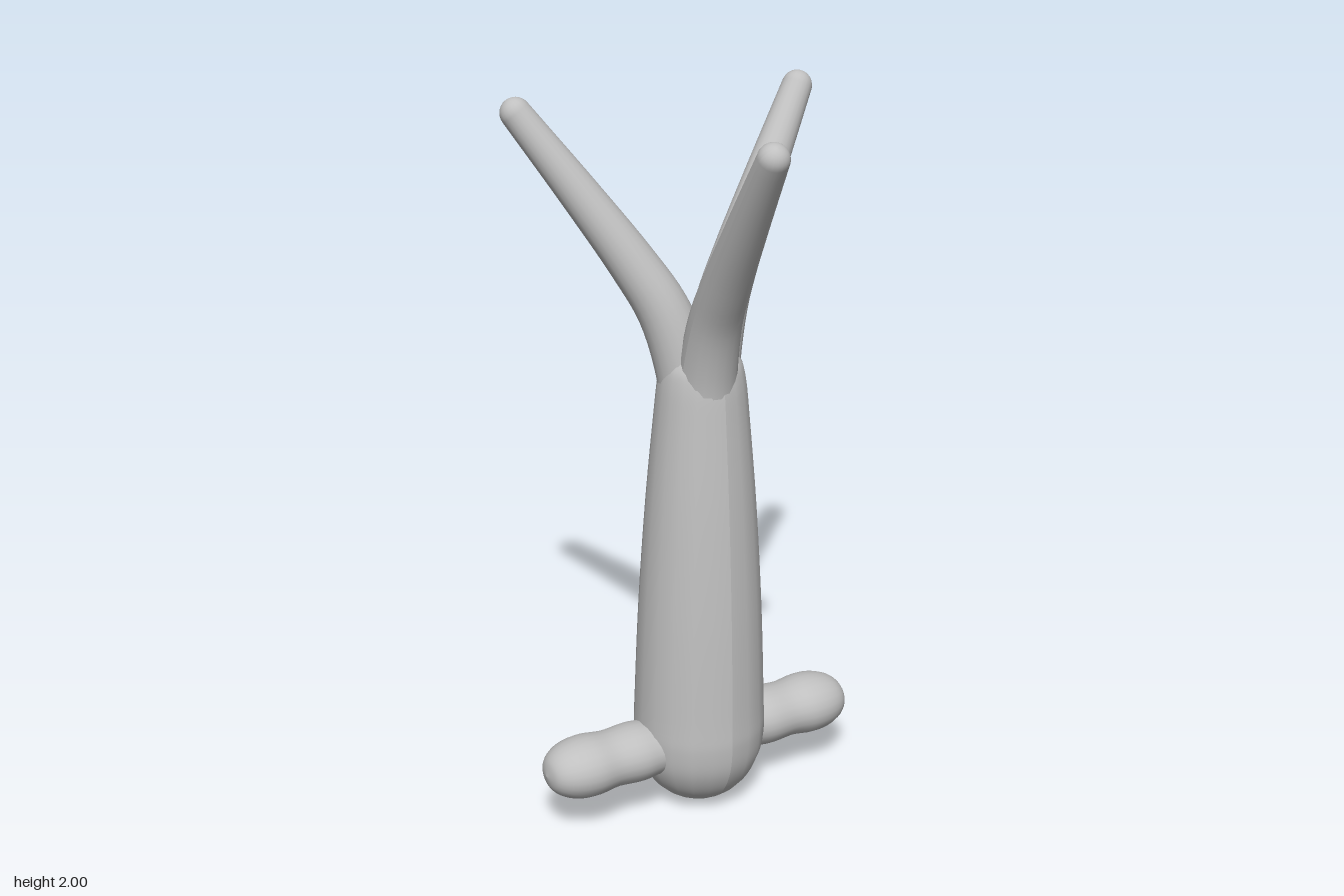
import * as THREE from 'three';

const grey = new THREE.MeshStandardMaterial({ color: 0xc0c0c0 });
grey.name = 'plainGrey';

function add(parent, name, geometry) {
  const mesh = new THREE.Mesh(geometry, grey);
  mesh.name = name;
  parent.add(mesh);
  return mesh;
}

// Smooth solid of revolution through [radius, height] points, bottom to top
function turned(points, sides, steps) {
  const curve = new THREE.SplineCurve(points.map(([r, y]) => new THREE.Vector2(r, y)));
  const profile = curve.getPoints(steps).map((p) => new THREE.Vector2(Math.max(p.x, 0), p.y));
  return new THREE.LatheGeometry(profile, sides);
}

// Tapered tube along a curve with a rounded tip
function taperedTube(points, r0, r1, sides = 20, steps = 28, capSteps = 7) {
  const curve = new THREE.CatmullRomCurve3(points);
  const frames = curve.computeFrenetFrames(steps);
  const pos = [], index = [];
  const ring = (centre, i, r) => {
    for (let j = 0; j <= sides; j++) {
      const a = (j / sides) * Math.PI * 2;
      const p = centre.clone()
        .addScaledVector(frames.normals[i], Math.cos(a) * r)
        .addScaledVector(frames.binormals[i], Math.sin(a) * r);
      pos.push(p.x, p.y, p.z);
    }
  };
  for (let i = 0; i <= steps; i++) {
    ring(curve.getPointAt(i / steps), i, r0 + (r1 - r0) * (i / steps));
  }
  for (let k = 1; k <= capSteps; k++) {
    const a = (k / capSteps) * Math.PI / 2;
    const centre = curve.getPointAt(1).addScaledVector(frames.tangents[steps], Math.sin(a) * r1);
    ring(centre, steps, Math.max(Math.cos(a) * r1, 0.0005));
  }
  const w = sides + 1;
  for (let i = 0; i < steps + capSteps; i++) {
    for (let j = 0; j < sides; j++) {
      const a = i * w + j, b = a + 1, c = a + w, d = c + 1;
      index.push(a, b, d, a, d, c);
    }
  }
  const g = new THREE.BufferGeometry();
  g.setAttribute('position', new THREE.Float32BufferAttribute(pos, 3));
  g.setIndex(index);
  g.computeVertexNormals();
  return g;
}

export function createModel() {
  const model = new THREE.Group();
  model.name = 'branchingFigure';
  const axisZ = -0.09;

  // Trunk: rounded foot, long taper, domed top, leaning slightly to +x
  const trunk = turned([
    [0, 0.008], [0.07, 0.025], [0.13, 0.07], [0.17, 0.14], [0.184, 0.22], [0.182, 0.32],
    [0.171, 0.6], [0.152, 0.9], [0.13, 1.15], [0.117, 1.27], [0.1, 1.32], [0.06, 1.36], [0, 1.375],
  ], 20, 72);
  const p = trunk.attributes.position;
  for (let i = 0; i < p.count; i++) p.setX(i, p.getX(i) + 0.012 * p.getY(i));
  trunk.computeVertexNormals();
  add(model, 'trunk', trunk).position.z = axisZ;

  // Three branches: steep at the trunk, then spreading outwards
  const crown = new THREE.Vector2(0.012, -0.086);
  const rise = [[0.05, 1.16], [0.1, 1.3], [0.21, 1.45], [0.37, 1.57], [0.65, 1.75], [1, 1.965]];
  const tips = { frontBranch: [-0.055, 0.365], leftBranch: [0.42, -0.272], rightBranch: [-0.37, -0.368] };
  for (const [name, [x, z]] of Object.entries(tips)) {
    const path = rise.map(([t, y]) => new THREE.Vector3(
      crown.x + (x - crown.x) * t, y, crown.y + (z - crown.y) * t));
    add(model, name, taperedTube(path, 0.085, 0.041));
  }

  // Side limbs: wavy, slightly flattened rounded rods
  for (const side of [1, -1]) {
    const limb = turned([
      [0.085, 0], [0.088, 0.14], [0.095, 0.21], [0.09, 0.285], [0.098, 0.35],
      [0.093, 0.4], [0.075, 0.442], [0.045, 0.469], [0, 0.48],
    ], 24, 48);
    limb.rotateZ(-side * Math.PI / 2);
    limb.scale(1, 0.86, 1);
    add(model, side > 0 ? 'leftLimb' : 'rightLimb', limb).position.set(0, 0.198, axisZ);
  }

  // Small two-lobed nub behind the left limb
  const nub = new THREE.Group();
  nub.name = 'nub';
  model.add(nub);
  const outer = new THREE.CapsuleGeometry(0.026, 0.045, 6, 14);
  outer.rotateZ(Math.PI / 2);
  add(nub, 'nubOuterLobe', outer).position.set(0.375, 0.2, -0.19);
  add(nub, 'nubInnerLobe', new THREE.SphereGeometry(0.024, 14, 10)).position.set(0.3, 0.197, -0.192);

  return model;
}
